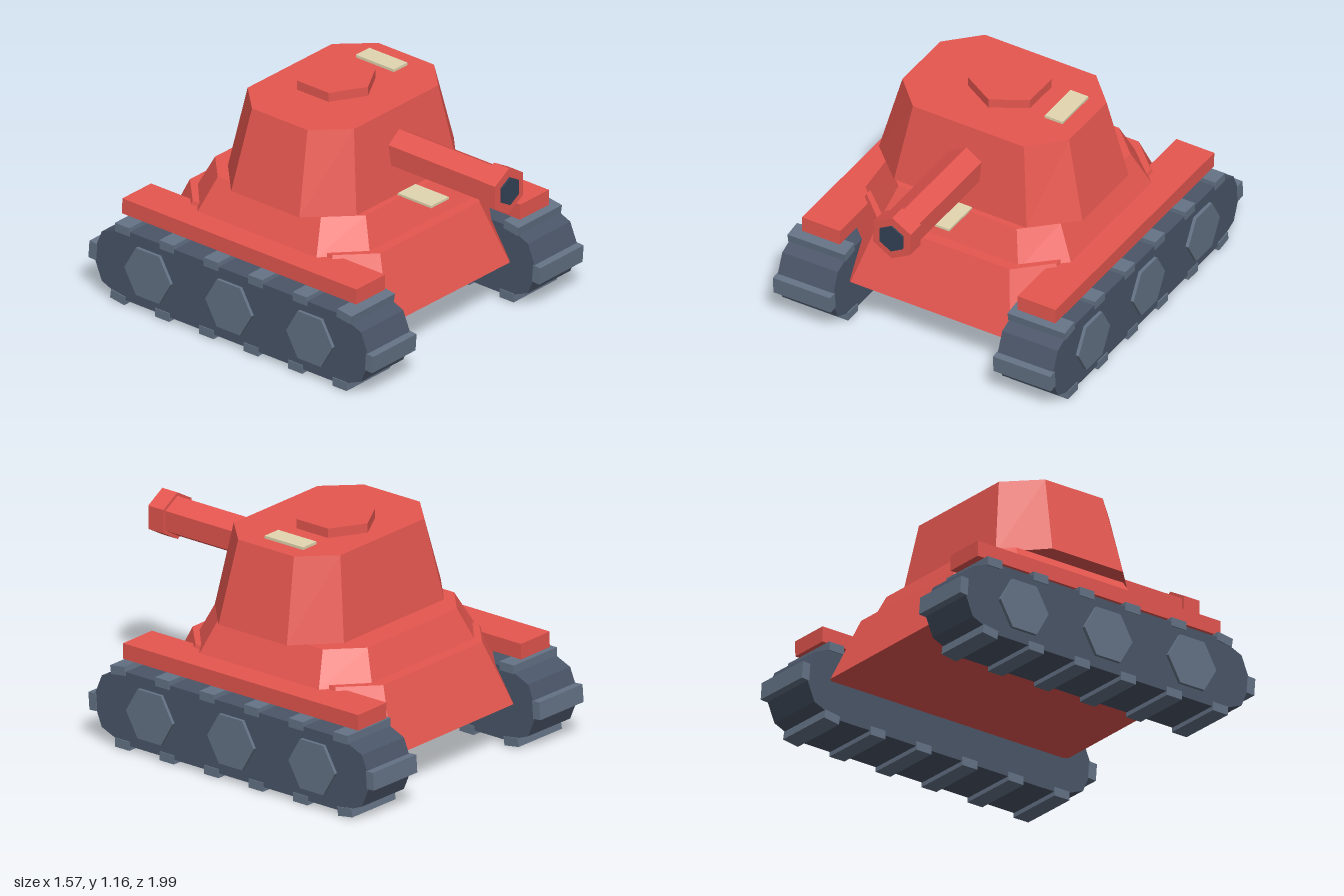
import * as THREE from 'three';

const paint = (color) => new THREE.MeshStandardMaterial({ color, flatShading: true });
const RED = paint(0xe5564f), TRACK = paint(0x4a5568), STEEL = paint(0x647386);
const DARK = paint(0x334155), CREAM = paint(0xe2d6b0);

function add(parent, name, geometry, material, x = 0, y = 0, z = 0) {
  const mesh = new THREE.Mesh(geometry, material);
  mesh.name = name;
  mesh.position.set(x, y, z);
  parent.add(mesh);
  return mesh;
}

// Tapered block with chamfered corners. Ring: [y, half width, half depth, corner x, corner z]
function taperedOctagon(bottom, top) {
  const ring = ([y, hx, hz, cx, cz]) => [
    [cx, hz], [hx, cz], [hx, -cz], [cx, -hz], [-cx, -hz], [-hx, -cz], [-hx, cz], [-cx, hz],
  ].map(([x, z]) => [x, y, z]);
  const a = ring(bottom), b = ring(top), pos = [];
  for (let i = 0; i < 8; i++) {
    const j = (i + 1) % 8;
    pos.push(...a[i], ...a[j], ...b[j], ...a[i], ...b[j], ...b[i]);
    if (i > 0 && i < 7) pos.push(...b[0], ...b[i], ...b[j], ...a[0], ...a[j], ...a[i]);
  }
  const g = new THREE.BufferGeometry();
  g.setAttribute('position', new THREE.Float32BufferAttribute(pos, 3));
  g.computeVertexNormals();
  return g;
}

// Hexagonal prism along z, with a corner pointing up
const hexBar = (r, length) => new THREE.CylinderGeometry(r, r, length, 6).rotateX(Math.PI / 2);

// Track loop: two half circles joined by straight runs
const R = 0.187, AXLE_Y = 0.217, FRONT_Z = 0.59, REAR_Z = -0.78;
const RUN = FRONT_Z - REAR_Z, ARC = Math.PI * R;

// Position and turn at distance s along the loop, starting at the rear of the top run
function onLoop(s) {
  const half = RUN + ARC, back = s >= half;
  const t = back ? s - half : s;
  const turn = Math.max(0, t - RUN) / R + (back ? Math.PI : 0);
  const start = back ? FRONT_Z : REAR_Z, dir = back ? -1 : 1;
  const centre = start + dir * Math.min(t, RUN);
  return { z: centre + Math.sin(turn) * R, y: AXLE_Y + Math.cos(turn) * R, turn };
}

function makeTrack(side) {
  const track = new THREE.Group();
  track.name = side > 0 ? 'leftTrack' : 'rightTrack';
  track.position.x = side * 0.614;

  // Solid belt, extruded across x
  const shape = new THREE.Shape();
  for (let end = 0; end < 2; end++) {
    for (let i = 0; i <= 4; i++) {
      const a = end * Math.PI + (i * Math.PI) / 4;
      const z = (end ? REAR_Z : FRONT_Z) + Math.sin(a) * R, y = AXLE_Y + Math.cos(a) * R;
      if (end + i === 0) shape.moveTo(-z, y);
      else shape.lineTo(-z, y);
    }
  }
  const belt = new THREE.ExtrudeGeometry(shape, { depth: 0.31, bevelEnabled: false });
  belt.translate(0, 0, -0.155).rotateY(Math.PI / 2);
  add(track, 'belt', belt, TRACK);

  // Evenly spaced cleats
  const step = (2 * (RUN + ARC)) / 14;
  for (let i = 0; i < 14; i++) {
    const p = onLoop(i * step);
    const cleat = add(track, 'cleat', new THREE.BoxGeometry(0.32, 0.045, 0.09), STEEL, 0, p.y, p.z);
    cleat.rotation.x = p.turn;
  }

  // Hexagonal wheels on the outer face
  for (const z of [0.41, -0.1, -0.61]) {
    const wheel = new THREE.CylinderGeometry(0.146, 0.146, 0.04, 6).rotateZ(Math.PI / 2);
    add(track, 'wheel', wheel, STEEL, side * 0.152, AXLE_Y, z);
  }
  return track;
}

export function createModel() {
  const model = new THREE.Group();
  model.name = 'tank';
  model.add(makeTrack(1), makeTrack(-1));

  // Body leans very slightly to its left
  const body = new THREE.Group();
  body.name = 'body';
  body.position.y = 0.6;
  body.rotation.z = -0.009;
  const inner = new THREE.Group();
  inner.name = 'bodyParts';
  inner.position.y = -0.6;
  body.add(inner);
  model.add(body);

  // Hull in two tiers, with the turret on top
  add(inner, 'lowerHull', taperedOctagon([0.227, 0.65, 0.725, 0.445, 0.525],
    [0.54, 0.53, 0.6, 0.365, 0.44]), RED, 0, 0, -0.103);
  add(inner, 'upperHull', taperedOctagon([0.52, 0.575, 0.55, 0.385, 0.375],
    [0.69, 0.485, 0.475, 0.33, 0.325]), RED, 0, 0, -0.1);
  add(inner, 'turret', taperedOctagon([0.697, 0.568, 0.405, 0.37, 0.215],
    [1.113, 0.465, 0.335, 0.31, 0.175]), RED, 0, 0, -0.055);

  for (const side of [1, -1]) {
    add(inner, side > 0 ? 'leftFender' : 'rightFender',
      new THREE.BoxGeometry(0.212, 0.08, 1.475), RED, side * 0.602, 0.483, -0.097);
  }

  // Hatch and marker plates
  add(inner, 'hatch', new THREE.CylinderGeometry(0.2, 0.2, 0.06, 6), RED, 0.003, 1.131, -0.1);
  add(inner, 'roofPlate', new THREE.BoxGeometry(0.1, 0.014, 0.24), CREAM, 0.325, 1.121, -0.09);
  add(inner, 'frontPlate', new THREE.BoxGeometry(0.13, 0.012, 0.24), CREAM, 0, 0.695, 0.44);

  // Gun
  add(inner, 'barrel', hexBar(0.102, 0.7), RED, 0.002, 0.9, 0.55);
  add(inner, 'muzzle', hexBar(0.12, 0.095), RED, 0.002, 0.9, 0.944);
  add(inner, 'bore', hexBar(0.074, 0.04), DARK, 0.002, 0.9, 0.98);
  return model;
}
